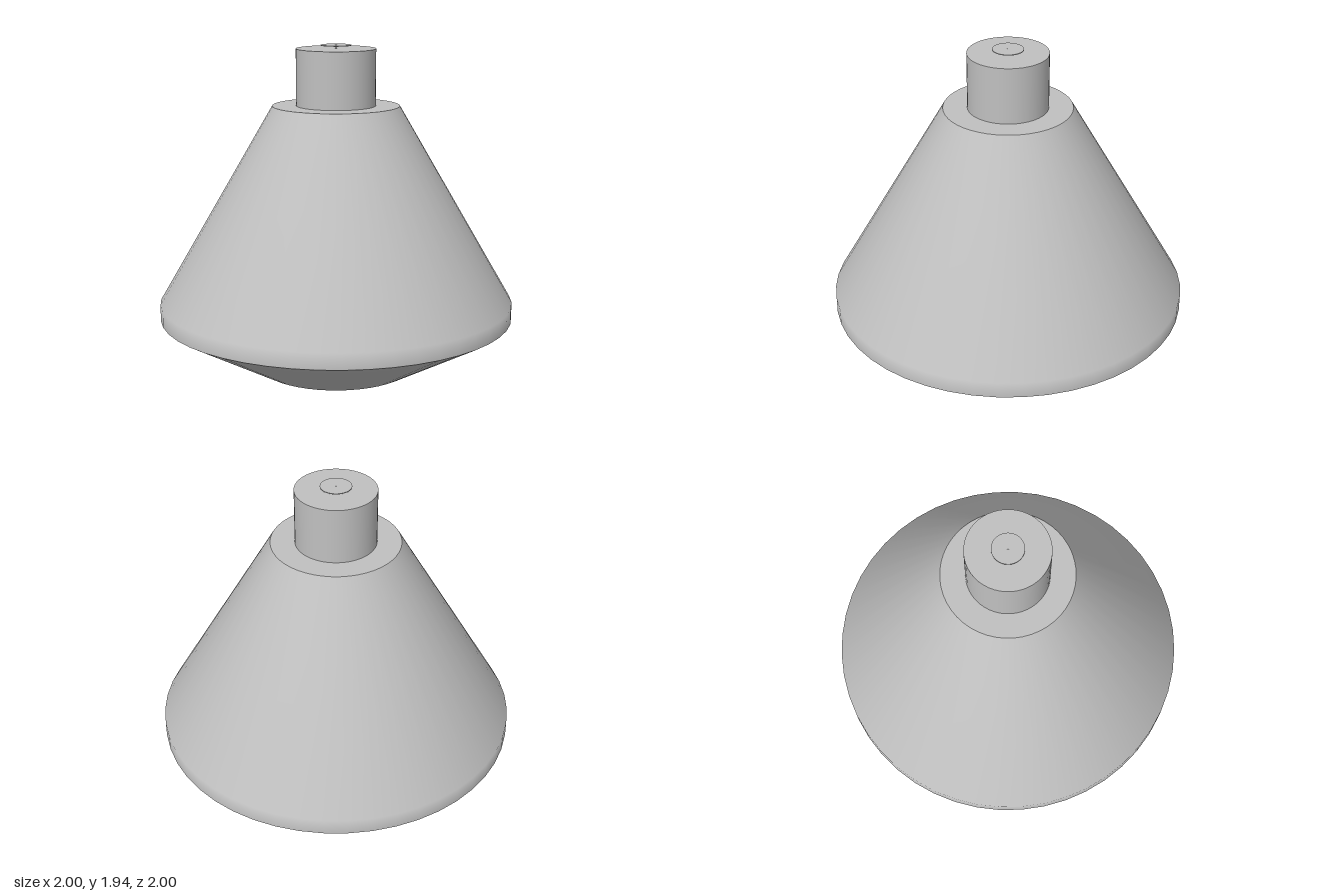
import * as THREE from 'three';

const SEGMENTS = 48;

export function createModel() {
  const model = new THREE.Group();
  model.name = 'spinningTop';

  const grey = new THREE.MeshStandardMaterial({ color: 0xc0c0c0 });
  grey.name = 'light grey';

  // Each surface is turned from a profile running from the bottom upwards;
  // separate profiles keep the edges between them sharp.
  function turn(name, profile, segments = SEGMENTS) {
    const points = profile.map(([r, y]) => new THREE.Vector2(r, y));
    const mesh = new THREE.Mesh(new THREE.LatheGeometry(points, segments), grey);
    mesh.name = name;
    model.add(mesh);
  }

  // Shallow pointed underside
  turn('underside', [[0, 0], [0.445, 0.09], [1, 0.4]]);

  // Rim blending softly into the conical body
  turn('body', [[1, 0.4], [1, 0.49], [0.355, 1.6]]);
  turn('shoulder', [[0.355, 1.6], [0.222, 1.6]]);

  // Cylindrical neck with a flat cap
  turn('neck', [[0.222, 1.6], [0.222, 1.915]]);
  turn('neckCap', [[0.222, 1.915], [0, 1.915]]);

  // Thin button held on a tiny pin
  function disc(name, radius, bottom, top, segments) {
    const mesh = new THREE.Mesh(
      new THREE.CylinderGeometry(radius, radius, top - bottom, segments), grey);
    mesh.position.y = (bottom + top) / 2;
    mesh.name = name;
    model.add(mesh);
  }
  disc('buttonPin', 0.006, 1.915, 1.937, 12);
  disc('button', 0.085, 1.931, 1.935, SEGMENTS);

  return model;
}
